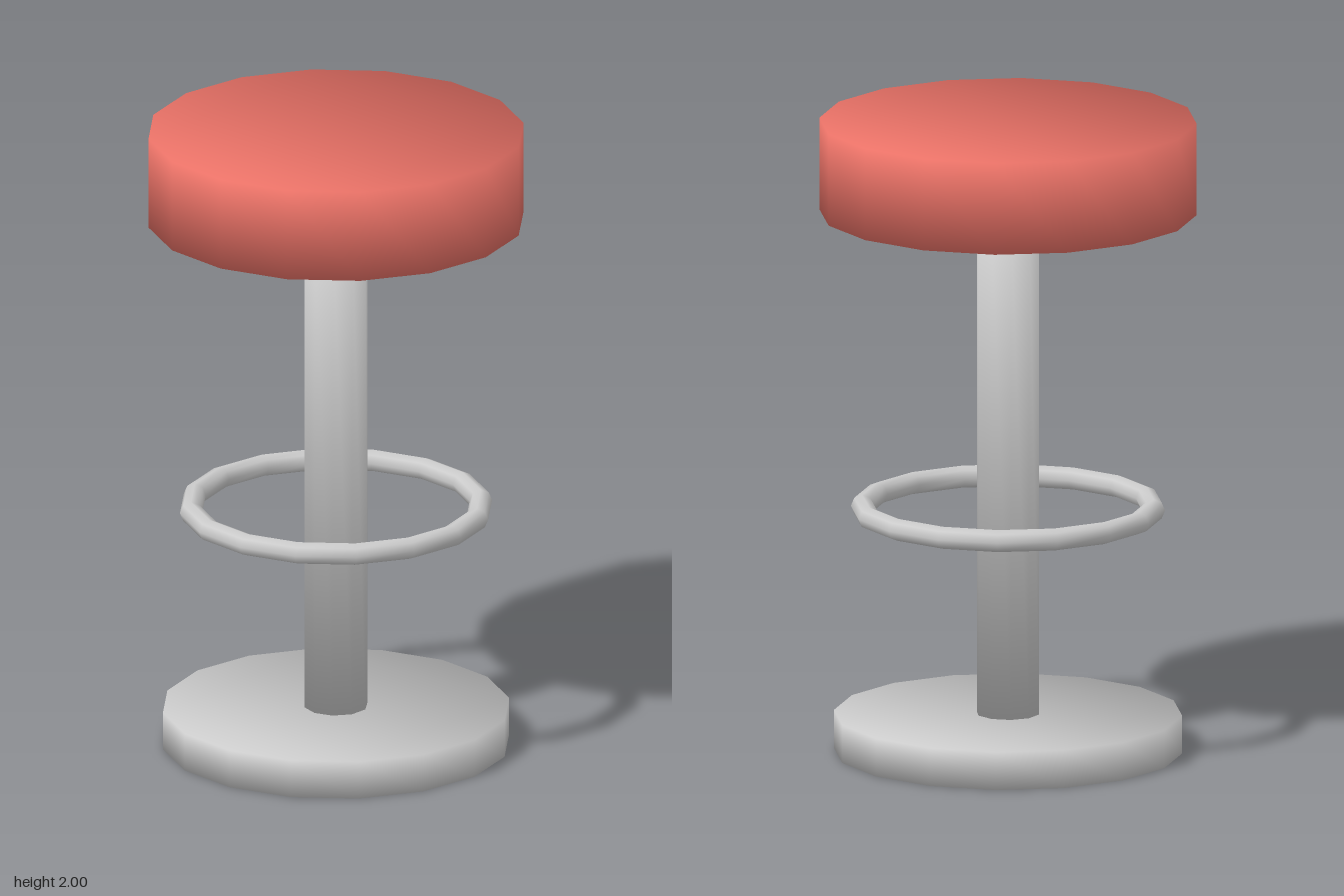
import * as THREE from 'three';

const grey = new THREE.MeshStandardMaterial({ color: 0xcccccc });
const red = new THREE.MeshStandardMaterial({ color: 0xea7267 });

// Upright prism whose normals run smoothly over the rim, for a soft padded look
function softDisc(name, radius, sides, bottom, top, material) {
  const points = [];
  for (let i = 0; i < sides; i++) {
    const a = (i / sides) * Math.PI * 2;
    points.push(new THREE.Vector2(Math.sin(a) * radius, Math.cos(a) * radius));
  }
  const geometry = new THREE.ExtrudeGeometry(new THREE.Shape(points), { depth: top - bottom, bevelEnabled: false });
  geometry.rotateX(-Math.PI / 2);
  const position = geometry.attributes.position;
  const n = new THREE.Vector3();
  for (let i = 0; i < position.count; i++) {
    const up = position.getY(i) > (top - bottom) / 2 ? 1 : -1;
    n.set(position.getX(i) / radius, up, position.getZ(i) / radius).normalize();
    geometry.attributes.normal.setXYZ(i, n.x, n.y, n.z);
  }
  geometry.translate(0, bottom, 0);
  const mesh = new THREE.Mesh(geometry, material);
  mesh.name = name;
  return mesh;
}

export function createModel() {
  const stool = new THREE.Group();
  stool.name = 'barStool';

  // Base, post and padded seat
  stool.add(softDisc('base', 0.54, 16, 0, 0.12, grey));
  stool.add(softDisc('post', 0.099, 10, 0.12, 1.71, grey));
  stool.add(softDisc('seat', 0.585, 16, 1.71, 2, red));

  // Free-floating foot ring around the post
  const ring = new THREE.Mesh(new THREE.TorusGeometry(0.452, 0.035, 8, 16), grey);
  ring.name = 'footRing';
  ring.rotation.x = Math.PI / 2;
  ring.position.y = 0.77;
  stool.add(ring);

  return stool;
}
